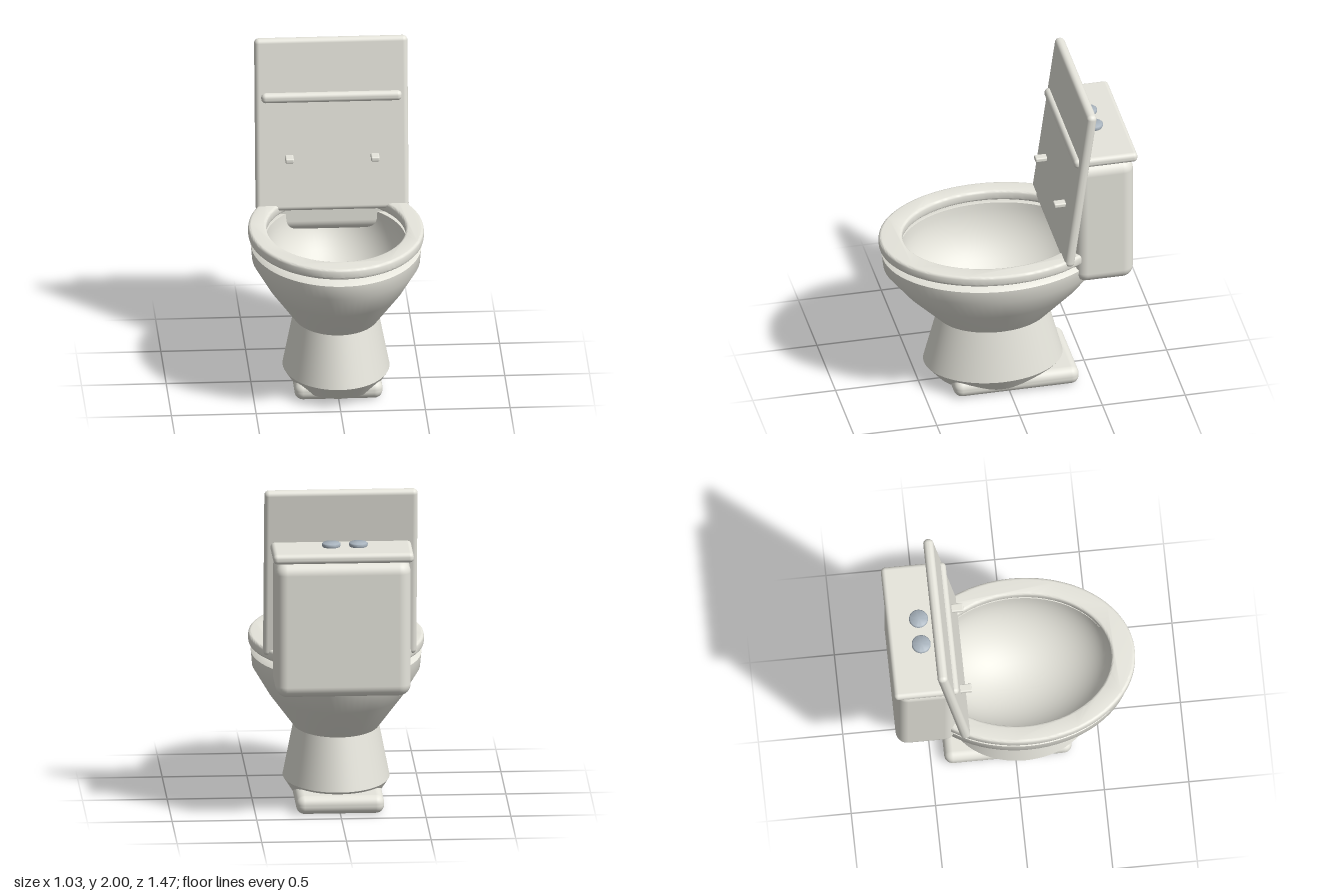
import * as THREE from 'three';
import { RoundedBoxGeometry } from 'three/addons/geometries/RoundedBoxGeometry.js';
import { toCreasedNormals } from 'three/addons/utils/BufferGeometryUtils.js';

const STRETCH = 1.32;  // bowl and seat are ellipses, longer in z
const CENTRE_Z = 0.05;

export function createModel() {
  const group = new THREE.Group();
  const ceramic = new THREE.MeshStandardMaterial({ color: 0xe6e5dc });
  const metal = new THREE.MeshStandardMaterial({ color: 0xa9b4be });

  const add = (name, geometry, x, y, z, material = ceramic) => {
    const mesh = new THREE.Mesh(geometry, material);
    mesh.name = name;
    mesh.position.set(x, y, z);
    group.add(mesh);
    return mesh;
  };
  const box = (w, h, d, r) => new RoundedBoxGeometry(w, h, d, 5, r);
  const ellipticLathe = (points) => {
    const g = new THREE.LatheGeometry(points.map(([r, y]) => new THREE.Vector2(r, y)), 72);
    g.scale(1, 1, STRETCH);
    return toCreasedNormals(g, 0.65);
  };

  // Pedestal and bowl: outside profile up to the rim
  add('bowl', ellipticLathe([
    [0, 0.04], [0.26, 0.04], [0.315, 0.125], [0.253, 0.44], [0.4, 0.64],
    [0.495, 0.8], [0.503, 0.885], [0.463, 0.915], [0.415, 0.915],
  ]), 0, 0, CENTRE_Z);

  // Basin: smooth hollow from the rim downwards
  const basin = [];
  for (let i = 0; i <= 16; i++) {
    const t = (i / 16) * Math.PI / 2;
    basin.push([0.415 * Math.cos(t), 0.915 - 0.44 * Math.sin(t)]);
  }
  add('basin', ellipticLathe(basin), 0, 0, CENTRE_Z);

  // Foot slab
  add('foot', box(0.52, 0.11, 0.755, 0.05), 0, 0.057, -0.043);

  // Seat: horseshoe cut off straight behind
  const cut = 0.45;
  const outer = { x: 0.517, z: 0.68 }, inner = { x: 0.41, z: 0.54 };
  const a = Math.asin(cut / outer.z), b = Math.asin(cut / inner.z);
  const ring = new THREE.Shape();
  ring.absellipse(0, 0, outer.x, outer.z, Math.PI - a, 2 * Math.PI + a, false);
  ring.absellipse(0, 0, inner.x, inner.z, b, Math.PI - b, true);
  ring.closePath();
  const bevel = 0.016;
  const seat = new THREE.ExtrudeGeometry(ring, {
    depth: 0.065 - 2 * bevel, bevelThickness: bevel, bevelSize: bevel,
    bevelOffset: -bevel, bevelSegments: 3, curveSegments: 64,
  });
  seat.rotateX(-Math.PI / 2);
  add('seat', toCreasedNormals(seat, 0.7), 0, 0.933 + bevel, CENTRE_Z);

  // Raised seat cover, leaning back
  add('seatCover', box(0.905, 1.05, 0.06, 0.028), 0, 1.48, -0.384).rotation.x = -0.135;

  // Bumper pads on the cover
  for (const side of [-1, 1]) {
    add('coverPad', box(0.05, 0.028, 0.085, 0.008), side * 0.253, 1.29, -0.303);
  }

  // Water tank and its top
  add('tank', box(0.8, 0.82, 0.355, 0.07), 0, 1.205, -0.543);
  add('tankTop', box(0.83, 0.06, 0.385, 0.026), 0, 1.65, -0.543);

  // Flush buttons
  const buttonProfile = [[0, 1.675], [0.05, 1.675], [0.056, 1.69], [0.056, 1.697], [0.05, 1.703], [0, 1.705]];
  for (const x of [-0.097, 0.063]) {
    const g = new THREE.LatheGeometry(buttonProfile.map(([r, y]) => new THREE.Vector2(r, y)), 32);
    add('flushButton', toCreasedNormals(g, 0.9), x, 0, -0.545, metal);
  }
  return group;
}
